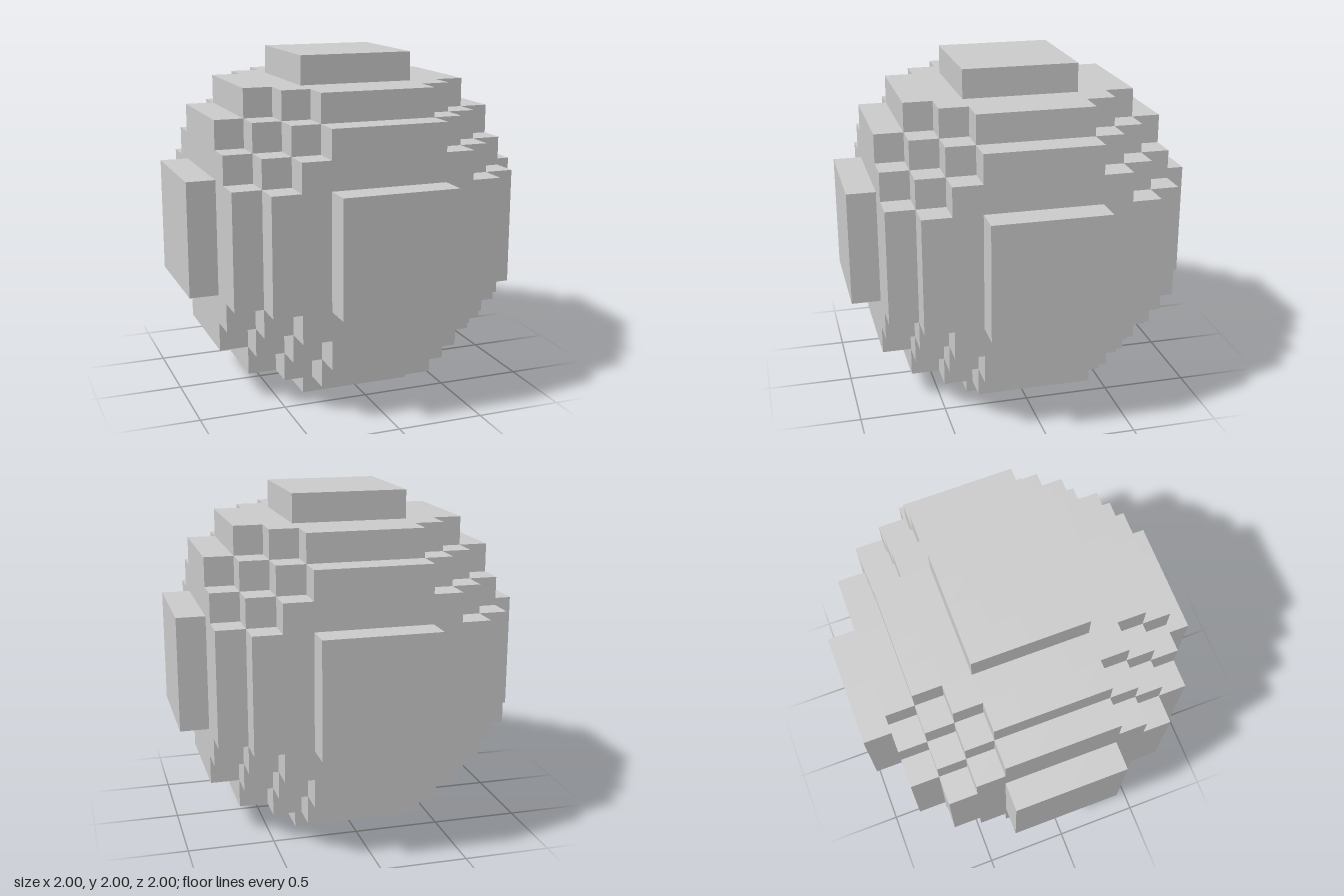
import * as THREE from 'three';

const N = 12;            // cells across the ball
const CELL = 2 / N;      // cell size
const RADIUS_SQ = 36;    // ball radius squared, in cells

// A cell belongs to the ball when its centre lies within the radius
function filled(cell) {
  return cell.reduce((sum, c) => sum + (c + 0.5 - N / 2) ** 2, 0) <= RADIUS_SQ;
}

// Outer skin of the stepped ball: one quad for every exposed cell side
function steppedBallGeometry() {
  const positions = [];
  const index = [];

  const addSide = (cell, axis, dir) => {
    const u = (axis + 1) % 3;
    const v = (axis + 2) % 3;
    const base = positions.length / 3;
    for (const [du, dv] of [[0, 0], [1, 0], [1, 1], [0, 1]]) {
      const p = [...cell];
      p[axis] += dir > 0 ? 1 : 0;
      p[u] += du;
      p[v] += dv;
      positions.push(p[0] * CELL - 1, p[1] * CELL, p[2] * CELL - 1);
    }
    const order = dir > 0 ? [0, 1, 2, 0, 2, 3] : [0, 2, 1, 0, 3, 2];
    index.push(...order.map((i) => base + i));
  };

  for (let x = 0; x < N; x++) {
    for (let y = 0; y < N; y++) {
      for (let z = 0; z < N; z++) {
        const cell = [x, y, z];
        if (!filled(cell)) continue;
        for (let axis = 0; axis < 3; axis++) {
          for (const dir of [-1, 1]) {
            const neighbour = [...cell];
            neighbour[axis] += dir;
            if (!filled(neighbour)) addSide(cell, axis, dir);
          }
        }
      }
    }
  }

  const geometry = new THREE.BufferGeometry();
  geometry.setAttribute('position', new THREE.Float32BufferAttribute(positions, 3));
  geometry.setIndex(index);
  geometry.computeVertexNormals();
  return geometry;
}

export function createModel() {
  const group = new THREE.Group();
  group.name = 'blockBall';

  const material = new THREE.MeshStandardMaterial({ color: 0xcccccc, flatShading: true });
  const ball = new THREE.Mesh(steppedBallGeometry(), material);
  ball.name = 'steppedBall';
  group.add(ball);

  return group;
}
